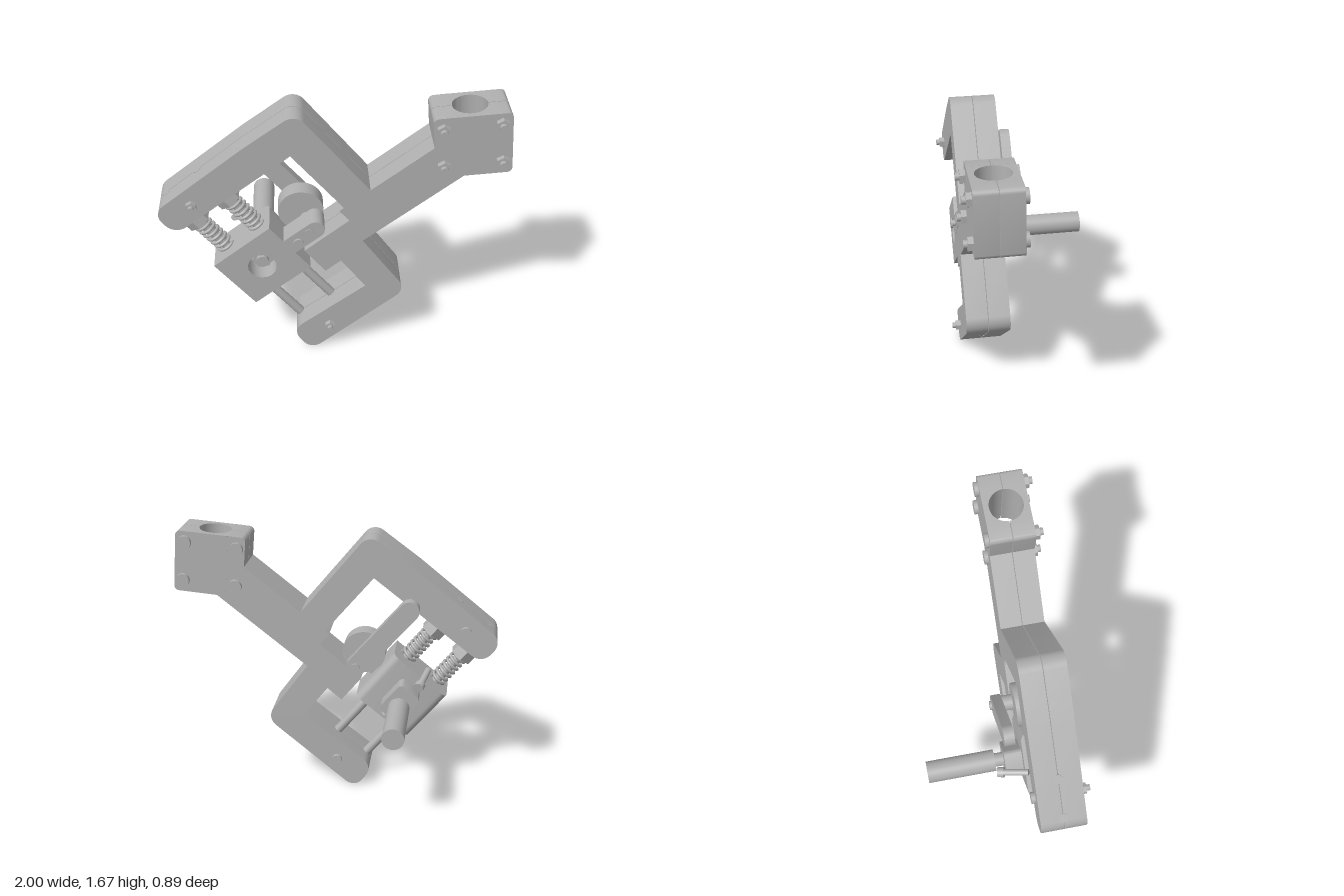
import * as THREE from 'three';
import { toCreasedNormals } from 'three/addons/utils/BufferGeometryUtils.js';

const metal = new THREE.MeshStandardMaterial({ color: 0xb0b0b0 });
metal.name = 'plain grey metal';

const BACK = 0.13, FRONT = 0.395, SEAM = 0.2625, GAP = 0.002;

function add(parent, name, geometry, x = 0, y = 0, z = 0) {
  const m = new THREE.Mesh(geometry, metal);
  m.name = name;
  m.position.set(x, y, z);
  parent.add(m);
  return m;
}

// Polygon of [x, y, cornerRadius] points
function roundedShape(points) {
  const s = new THREE.Shape(), n = points.length;
  points.forEach(([x, y, r = 0], i) => {
    const p = new THREE.Vector2(x, y);
    const toward = (q, d) => p.clone().add(new THREE.Vector2(q[0] - x, q[1] - y).setLength(d));
    const prev = points[(i + n - 1) % n], next = points[(i + 1) % n];
    const a = r ? toward(prev, r) : p;
    if (i === 0) s.moveTo(a.x, a.y); else s.lineTo(a.x, a.y);
    if (r) {
      const b = toward(next, r), c = toward(prev, r * 0.45), d = toward(next, r * 0.45);
      s.bezierCurveTo(c.x, c.y, d.x, d.y, b.x, b.y);
    }
  });
  s.closePath();
  return s;
}

function extrude(shape, depth) {
  return toCreasedNormals(
    new THREE.ExtrudeGeometry(shape, { depth, bevelEnabled: false, curveSegments: 8 }), 0.6);
}

// Plate split into front and back halves along the seam
function splitPlate(parent, name, shape) {
  add(parent, name + 'Back', extrude(shape, SEAM - GAP - BACK), 0, 0, BACK);
  add(parent, name + 'Front', extrude(shape, FRONT - SEAM - GAP), 0, 0, SEAM + GAP);
}

// Cylinder along z, between two depths
function pin(parent, name, x, y, z0, z1, r, sides = 32) {
  const g = new THREE.CylinderGeometry(r, r, z1 - z0, sides).rotateX(Math.PI / 2);
  return add(parent, name, sides < 8 ? toCreasedNormals(g, 0.5) : g, x, y, (z0 + z1) / 2);
}

// Cylinder between two points
function rod(parent, name, a, b, r, sides = 24) {
  const A = new THREE.Vector3(...a), B = new THREE.Vector3(...b);
  const g = new THREE.CylinderGeometry(r, r, A.distanceTo(B), sides);
  const m = add(parent, name, sides < 8 ? toCreasedNormals(g, 0.5) : g);
  m.position.addVectors(A, B).multiplyScalar(0.5);
  m.quaternion.setFromUnitVectors(new THREE.Vector3(0, 1, 0), B.sub(A).normalize());
  return m;
}

function bolt(parent, x, y, r) {
  const g = new THREE.Group();
  g.name = 'clampBolt';
  pin(g, 'boltNut', x, y, FRONT, 0.425, r, 6);
  pin(g, 'boltTip', x, y, FRONT, 0.447, r * 0.52, 20);
  pin(g, 'boltHead', x, y, 0.106, BACK, r, 24);
  parent.add(g);
}

// Clamp head with a bore running up through it
function clampHead() {
  const head = new THREE.Group();
  head.name = 'clampHead';
  head.position.set(0.73, 1.275, 0);
  head.rotation.z = 0.078;
  splitPlate(head, 'clampEnd', roundedShape(
    [[0.16, 0], [0.271, 0, 0.03], [0.271, 0.384, 0.03], [0.16, 0.384]]));
  for (const s of [1, -1]) {
    const pts = [[-0.055, GAP], [-0.055, 0.1325], [0, 0.1325], [0.16, 0.1325], [0.16, GAP]];
    for (let i = 0; i <= 20; i++) {
      const a = (i / 20) * Math.PI;
      pts.push([0.053 + 0.1 * Math.cos(a), Math.max(GAP, 0.1 * Math.sin(a))]);
    }
    const shape = new THREE.Shape(pts.map(([x, v]) => new THREE.Vector2(x, s * v)));
    const g = new THREE.ExtrudeGeometry(shape, { depth: 0.384, bevelEnabled: false });
    g.rotateX(-Math.PI / 2);
    // lower edge slopes down to follow the arm
    const p = g.attributes.position;
    for (let i = 0; i < p.count; i++)
      if (p.getY(i) < 0.001 && p.getX(i) < 0) p.setY(i, p.getX(i) * 0.67);
    add(head, 'clampBore', toCreasedNormals(g, 0.5), 0, 0, SEAM);
  }
  return head;
}

// Sliding block, rods and springs, aligned with the rods
function slider() {
  const g = new THREE.Group();
  g.name = 'slider';
  g.position.set(-0.425, 0.65, 0);
  g.rotation.z = THREE.MathUtils.degToRad(38.8);

  const face = roundedShape([[-0.215, -0.188], [0.215, -0.188], [0.215, 0.188], [-0.215, 0.188]]);
  face.holes.push(new THREE.Path().absarc(0, 0, 0.086, 0, Math.PI * 2, true));
  add(g, 'blockFront', extrude(face, 0.125), 0, 0, 0.262);
  const back = roundedShape([[-0.215, -0.262], [0.215, -0.262], [0.215, -0.138, 0.05], [-0.215, -0.138, 0.05]]);
  add(g, 'blockBack', extrude(back, 0.376).rotateX(-Math.PI / 2), 0, -0.188, 0);
  pin(g, 'recessNut', 0, 0, 0.26, 0.32, 0.062, 6);
  pin(g, 'recessBoltTip', 0, 0, 0.26, 0.345, 0.038);

  // back plate and handle
  add(g, 'backPlate', extrude(roundedShape([[-0.08, -0.11, 0.03], [0.08, -0.11, 0.03],
    [0.08, 0.11, 0.03], [-0.08, 0.11, 0.03]]), 0.11), 0, 0, 0.03);
  pin(g, 'handleShaft', 0, 0, -0.03, 0.04, 0.042);
  pin(g, 'handle', 0, 0, -0.445, -0.025, 0.067);
  rod(g, 'plateScrew', [0, -0.15, 0.11], [0, -0.1, 0.11], 0.026);

  for (const x of [-0.12, 0.12]) {
    rod(g, 'guideRod', [x, -0.703, SEAM], [x, 0.703, SEAM], 0.028);
    rod(g, 'springNut', [x, 0.42, SEAM], [x, 0.51, SEAM], 0.075, 6);
    const pts = [];
    for (let i = 0; i <= 84; i++) {
      const a = (i / 12) * Math.PI * 2;
      pts.push(new THREE.Vector3(x + 0.047 * Math.cos(a), 0.19 + 0.23 * i / 84, SEAM + 0.047 * Math.sin(a)));
    }
    add(g, 'spring', new THREE.TubeGeometry(new THREE.CatmullRomCurve3(pts), 168, 0.01, 8));
  }
  return g;
}

// Capsule plate between two centres
function capsule(parent, name, [x0, y0], [x1, y1], r, z0, z1) {
  const len = Math.hypot(x1 - x0, y1 - y0);
  const s = new THREE.Shape();
  s.absarc(0, 0, r, Math.PI / 2, Math.PI * 1.5, false);
  s.absarc(len, 0, r, -Math.PI / 2, Math.PI / 2, false);
  const m = add(parent, name, extrude(s, z1 - z0), x0, y0, z0);
  m.rotation.z = Math.atan2(y1 - y0, x1 - x0);
}

export function createModel() {
  const model = new THREE.Group();
  model.name = 'clampMechanism';

  // C-shaped frame with side arm
  splitPlate(model, 'frame', roundedShape([
    [-0.21, 1.70, 0.075], [-0.505, 1.484], [-1.035, 1.06, 0.08], [-0.917, 0.91, 0.08],
    [-0.243, 1.43], [0.056, 1.071], [0.03, 1.05], [0.088, 0.98], [-0.174, 0.766],
    [-0.05, 0.61], [0.04, 0.685], [0.19, 0.487], [-0.26, 0.14, 0.08], [-0.143, -0.029, 0.08],
    [0.44, 0.45, 0.08], [0.168, 0.83], [0.678, 1.234], [0.645, 1.654],
    [0.537, 1.644, 0.03], [0.553, 1.462], [0.206, 1.189]]));
  model.add(clampHead(), slider());

  for (const [x, y, r] of [[0.596, 1.575, 0.042], [0.917, 1.607, 0.042], [0.939, 1.366, 0.042],
    [0.612, 1.339, 0.042], [-0.81, 1.114, 0.033], [-0.024, 0.182, 0.033]]) bolt(model, x, y, r);

  // cam, lever and link
  pin(model, 'camDisc', -0.19, 0.943, 0.135, 0.24, 0.134, 48);
  capsule(model, 'lever', [-0.47, 1.27], [-0.15, 0.89], 0.06, 0.01, 0.07);
  pin(model, 'pivotBoss', -0.15, 0.89, 0.01, 0.27, 0.047);
  pin(model, 'pivotHead', -0.15, 0.89, -0.003, 0.02, 0.028);
  capsule(model, 'link', [-0.272, 0.782], [-0.108, 0.912], 0.055, 0.25, 0.388);
  pin(model, 'linkPin', -0.208, 0.835, 0.38, 0.41, 0.018);
  pin(model, 'linkPinHead', -0.208, 0.835, 0.408, 0.42, 0.032);
  pin(model, 'linkPivot', -0.147, 0.889, 0.38, 0.393, 0.028);

  // tilted adjusting screw
  rod(model, 'adjustScrew', [-0.55, 0.80, 0], [-0.59, 0.84, 0.15], 0.02);
  rod(model, 'adjustScrewHead', [-0.542, 0.795, -0.027], [-0.552, 0.803, 0.01], 0.031);
  return model;
}
